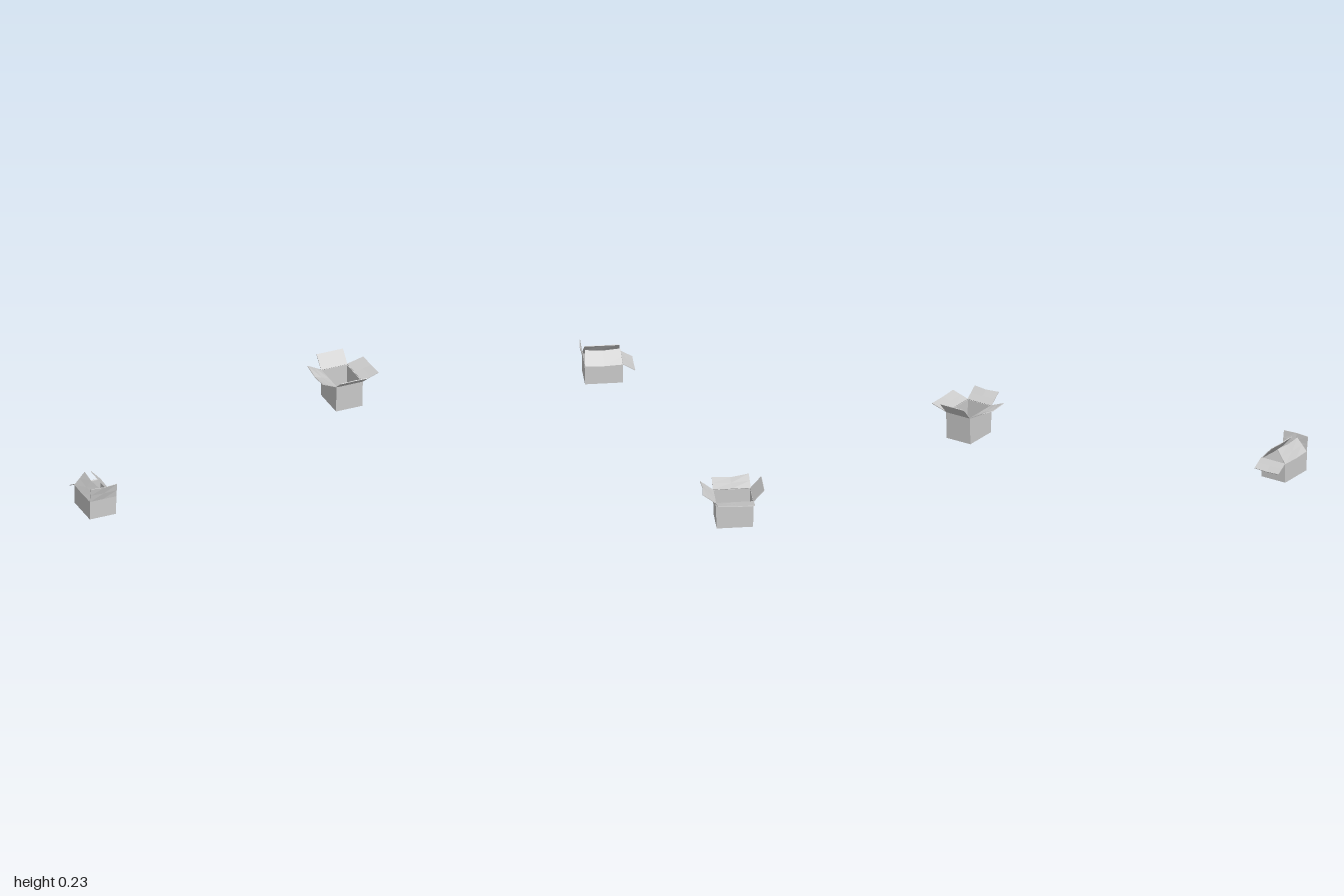
import * as THREE from 'three';

const T = 0.004; // cardboard thickness
const material = new THREE.MeshStandardMaterial({ color: 0xcccccc, flatShading: true });
const V = (x, y, z) => new THREE.Vector3(x, y, z);

// Thin sheet between a lower edge a-b and an upper edge c-d.
// bendLow / bendHigh shift the middle of each edge; outer face is seen with a on the left.
function sheet(name, a, b, c, d, bendLow = V(0, 0, 0), bendHigh = V(0, 0, 0)) {
  const geo = new THREE.BoxGeometry(1, 1, 1, 2, 2, 1);
  const pos = geo.attributes.position;
  const normal = b.clone().sub(a).cross(c.clone().sub(a)).normalize();
  for (let i = 0; i < pos.count; i++) {
    const u = pos.getX(i) + 0.5, v = pos.getY(i) + 0.5;
    const mid = 1 - Math.abs(2 * u - 1);
    const low = a.clone().lerp(b, u).addScaledVector(bendLow, mid);
    const high = c.clone().lerp(d, u).addScaledVector(bendHigh, mid);
    const p = low.lerp(high, v).addScaledVector(normal, (pos.getZ(i) - 0.5) * T);
    pos.setXYZ(i, p.x, p.y, p.z);
  }
  geo.computeVertexNormals();
  const mesh = new THREE.Mesh(geo, material);
  mesh.name = name;
  return mesh;
}

// Open carton: x0..x1, z0..z1 at the floor; walls flare slightly in z towards the rim.
// Each flap: out = horizontal reach, rise = tip height change, inset = tip narrowing,
// tip = shift of the tip's middle, skew = extra height of the two tip corners.
function carton(name, { x0, x1, z0, z1, h, flareFront, flareBack, sag, flaps }) {
  const g = new THREE.Group();
  g.name = name;
  const f = z1 + flareFront, k = z0 - flareBack;
  // bottom and rim corners, anticlockwise from above, starting front -x
  const low = [V(x0, 0, z1), V(x1, 0, z1), V(x1, 0, z0), V(x0, 0, z0)];
  const rim = [V(x0, h, f), V(x1, h, f), V(x1, h, k), V(x0, h, k)];
  const sides = ['front', 'left', 'back', 'right'];
  const outward = [V(0, 0, 1), V(1, 0, 0), V(0, 0, -1), V(-1, 0, 0)];

  g.add(sheet('floor', low[3], low[2], low[0], low[1]).translateY(T));
  sides.forEach((side, i) => {
    const j = (i + 1) % 4;
    const { out, rise, inset = 0, tip = [0, 0], skew = [0, 0] } = flaps[side];
    const dip = V(0, sag[side] || 0, 0);
    g.add(sheet(side + 'Wall', low[i], low[j], rim[i], rim[j], undefined, dip));

    // flap folded about the rim
    const along = rim[j].clone().sub(rim[i]).normalize();
    const corner = (p, s, lift) => p.clone().addScaledVector(outward[i], out)
      .addScaledVector(along, s * inset).add(V(0, rise + lift, 0));
    const tipBend = outward[i].clone().multiplyScalar(tip[0]).add(V(0, tip[1], 0));
    g.add(sheet(side + 'Flap', rim[i], rim[j],
      corner(rim[i], 1, skew[0]), corner(rim[j], -1, skew[1]), dip, tipBend));
  });
  return g;
}

export function createModel() {
  const model = new THREE.Group();
  model.name = 'openCartons';

  // low carton, side flaps leaning inwards
  model.add(carton('lowCarton', {
    x0: -1, x1: -0.84, z0: 0.187, z1: 0.398, h: 0.113, flareFront: 0.002, flareBack: 0,
    sag: { left: -0.005, right: -0.005 },
    flaps: {
      front: { out: 0.013, rise: 0.084, tip: [0.008, 0] },
      back: { out: -0.0 + 0.067, rise: -0.041, tip: [0, -0.003] },
      left: { out: -0.062, rise: 0.069, inset: 0.009, tip: [0.004, -0.006] },
      right: { out: -0.058, rise: 0.073, inset: 0.009, tip: [0.006, -0.003] },
    },
  }));

  // tall carton, all flaps spread outwards
  model.add(carton('tallCarton', {
    x0: 0.742, x1: 0.902, z0: -0.358, z1: -0.155, h: 0.157, flareFront: 0.006, flareBack: 0.004,
    sag: {},
    flaps: {
      front: { out: 0.072, rise: 0.057, tip: [-0.008, -0.003] },
      back: { out: 0.06, rise: 0.069 },
      left: { out: 0.098, rise: 0.026, inset: 0.003, skew: [0.006, 0], tip: [0, -0.003] },
      right: { out: 0.084, rise: 0.039, inset: 0.003, skew: [0.006, -0.004], tip: [0, -0.013] },
    },
  }));
  return model;
}
